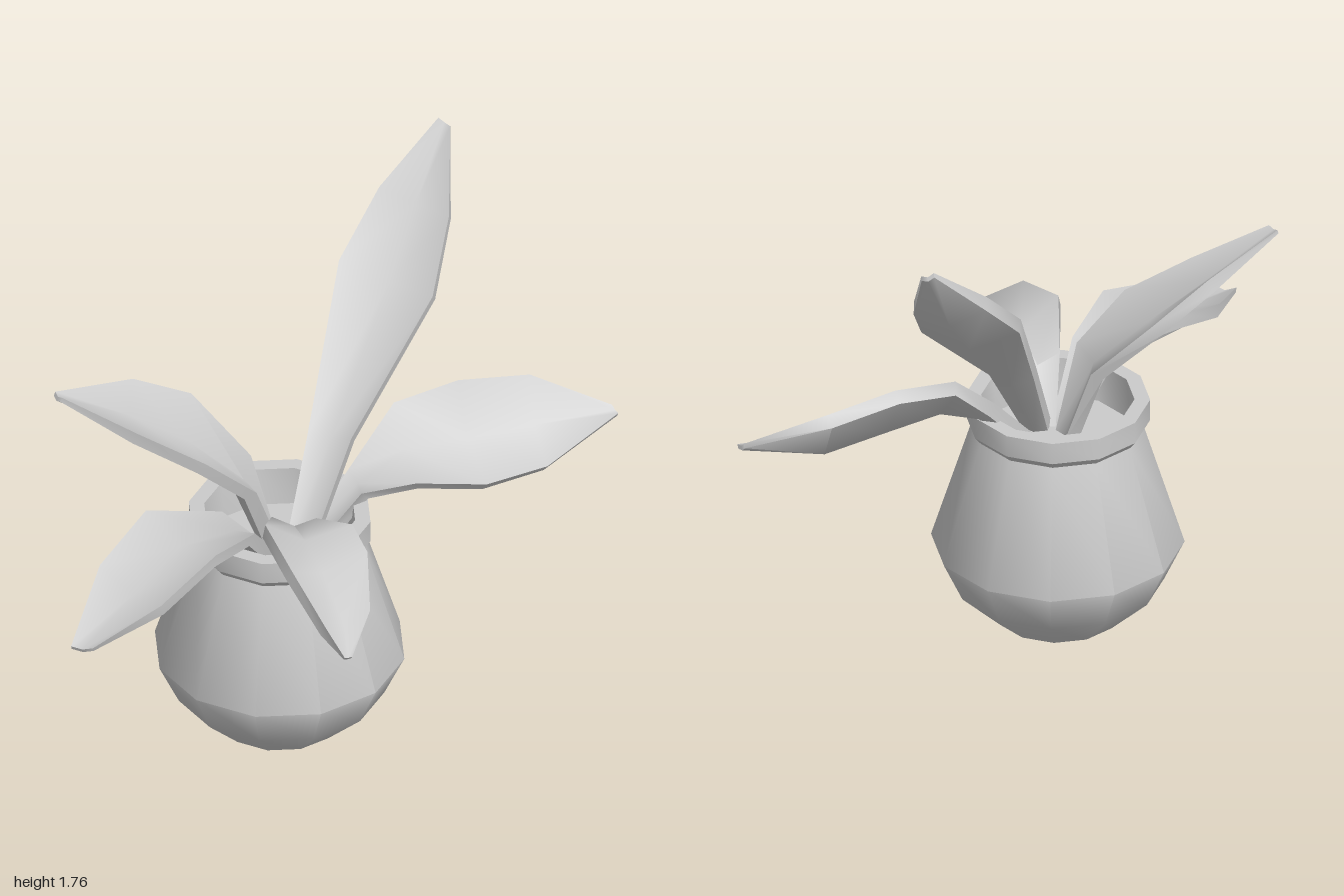
import * as THREE from 'three';
import { toCreasedNormals } from 'three/addons/utils/BufferGeometryUtils.js';

const material = new THREE.MeshStandardMaterial({ color: 0xcccccc });
const potMaterial = new THREE.MeshStandardMaterial({ color: 0xcccccc, side: THREE.DoubleSide });

// Each leaf: stations from base to tip, left edge xyz then right edge xyz
const leaves = {
  tallBackLeaf: [
    [-0.16, 0.66, 0.0, -0.1, 0.66, 0.05],
    [-0.02, 0.99, -0.17, 0.1, 1.0, -0.09],
    [0.2, 1.4, -0.5, 0.44, 1.35, -0.28],
    [0.37, 1.58, -0.6, 0.55, 1.53, -0.44],
    [0.59, 1.76, -0.66, 0.62, 1.74, -0.63],
  ],
  leftLeaf: [
    [-0.08, 0.66, -0.07, -0.08, 0.64, 0.0],
    [0.1, 0.86, -0.12, 0.11, 0.83, -0.02],
    [0.28, 1.03, -0.195, 0.27, 0.88, 0.05],
    [0.5, 1.06, -0.205, 0.5, 0.84, 0.075],
    [0.74, 1.03, -0.2, 0.72, 0.83, 0.03],
    [0.98, 0.93, -0.09, 0.99, 0.915, -0.06],
  ],
  frontLeaf: [
    [-0.1, 0.66, -0.03, -0.16, 0.66, -0.03],
    [-0.07, 0.83, 0.06, -0.22, 0.87, 0.06],
    [0.0, 0.89, 0.21, -0.3, 0.97, 0.23],
    [0.01, 0.86, 0.33, -0.28, 0.92, 0.44],
    [-0.05, 0.78, 0.53, -0.22, 0.79, 0.6],
    [-0.155, 0.71, 0.66, -0.18, 0.71, 0.66],
  ],
  frontRightLeaf: [
    [-0.16, 0.66, 0.0, -0.18, 0.66, -0.06],
    [-0.3, 0.87, 0.13, -0.36, 0.87, -0.02],
    [-0.48, 0.92, 0.27, -0.62, 0.94, -0.01],
    [-0.7, 0.84, 0.37, -0.82, 0.86, 0.12],
    [-0.94, 0.75, 0.4, -1.0, 0.745, 0.36],
  ],
  backRightLeaf: [
    [-0.15, 0.66, -0.05, -0.14, 0.66, -0.13],
    [-0.25, 0.93, 0.0, -0.2, 0.93, -0.2],
    [-0.42, 1.08, 0.0, -0.36, 1.13, -0.32],
    [-0.62, 1.19, -0.08, -0.56, 1.24, -0.31],
    [-0.84, 1.31, -0.19, -0.85, 1.31, -0.23],
  ],
};

// Thick leaf folded along its midrib, lofted through six-point sections
function leafGeometry(stations) {
  const left = stations.map((s) => new THREE.Vector3(s[0], s[1], s[2]));
  const right = stations.map((s) => new THREE.Vector3(s[3], s[4], s[5]));
  const mids = left.map((l, i) => l.clone().add(right[i]).multiplyScalar(0.5));
  const last = stations.length - 1;
  const positions = [];
  const index = [];
  for (let i = 0; i <= last; i++) {
    const across = right[i].clone().sub(left[i]);
    const width = across.length();
    const along = mids[Math.min(i + 1, last)].clone().sub(mids[Math.max(i - 1, 0)]);
    const up = across.clone().cross(along).normalize();
    const thickness = i === last ? 0.015 : 0.045;
    const rib = mids[i].clone().addScaledVector(up, -0.18 * width);
    const top = [left[i], rib, right[i]];
    const under = [right[i], rib, left[i]].map((p) => p.clone().addScaledVector(up, -thickness));
    for (const p of [...top, ...under]) positions.push(p.x, p.y, p.z);
  }
  for (let i = 0; i < last; i++) {
    for (let j = 0; j < 6; j++) {
      const a = i * 6 + j;
      const b = i * 6 + ((j + 1) % 6);
      index.push(a, b, b + 6, a, b + 6, a + 6);
    }
  }
  // End caps
  const t = last * 6;
  index.push(0, 5, 4, 0, 4, 1, 1, 4, 3, 1, 3, 2);
  index.push(t, t + 4, t + 5, t, t + 1, t + 4, t + 1, t + 3, t + 4, t + 1, t + 2, t + 3);
  const geometry = new THREE.BufferGeometry();
  geometry.setAttribute('position', new THREE.Float32BufferAttribute(positions, 3));
  geometry.setIndex(index);
  return toCreasedNormals(geometry, 1.0);
}

// Twelve-sided turned shape
function turned(name, profile, crease) {
  const points = profile.map(([r, y]) => new THREE.Vector2(r, y));
  const geometry = toCreasedNormals(new THREE.LatheGeometry(points, 12), crease);
  const mesh = new THREE.Mesh(geometry, potMaterial);
  mesh.name = name;
  return mesh;
}

export function createModel() {
  const model = new THREE.Group();
  model.name = 'pottedPlant';

  // Pot: belly, collar with inner wall, and soil
  const pot = new THREE.Group();
  pot.name = 'pot';
  pot.position.set(-0.15, 0, -0.065);
  pot.add(turned('body', [[0, 0], [0.205, 0], [0.34, 0.13], [0.405, 0.27], [0.275, 0.69]], 0.75));
  pot.add(turned('collar', [[0.275, 0.69], [0.295, 0.715], [0.295, 0.79], [0.245, 0.79], [0.235, 0.66]], 0.6));
  pot.add(turned('soil', [[0.236, 0.66], [0, 0.66]], 0.6));
  model.add(pot);

  // Leaves
  for (const [name, stations] of Object.entries(leaves)) {
    const leaf = new THREE.Mesh(leafGeometry(stations), material);
    leaf.name = name;
    model.add(leaf);
  }
  return model;
}
